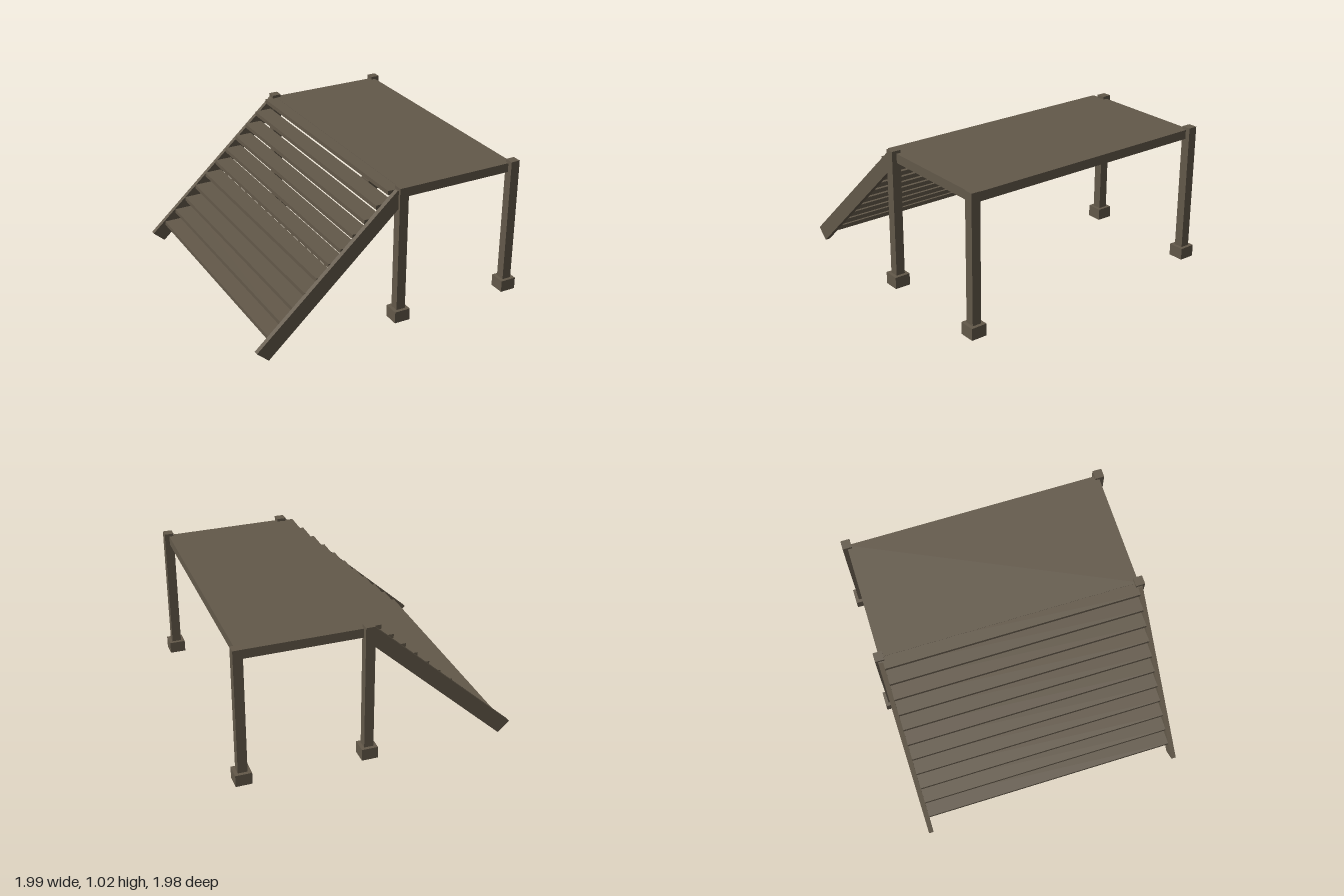
import * as THREE from 'three';

export function createModel() {
  const model = new THREE.Group();
  model.name = 'deckWithStairs';
  const wood = new THREE.MeshStandardMaterial({ color: 0x63594a });
  wood.name = 'weatheredWood';

  // Box given by its extents on each axis
  const box = (name, [x0, x1], [y0, y1], [z0, z1], parent = model) => {
    const mesh = new THREE.Mesh(new THREE.BoxGeometry(x1 - x0, y1 - y0, z1 - z0), wood);
    mesh.position.set((x0 + x1) / 2, (y0 + y1) / 2, (z0 + z1) / 2);
    mesh.name = name;
    parent.add(mesh);
    return mesh;
  };

  // Platform
  box('platform', [0.06, 0.937], [0.935, 1.0], [-0.935, 0.928]);

  // Four posts standing in square footings
  for (const x of [0.0625, 0.9375]) {
    for (const z of [-0.937, 0.93]) {
      const support = new THREE.Group();
      support.name = 'support';
      box('post', [x - 0.033, x + 0.033], [0.05, 1.02], [z - 0.033, z + 0.033], support);
      box('footing', [x - 0.057, x + 0.057], [0.03, 0.115], [z - 0.057, z + 0.057], support);
      model.add(support);
    }
  }

  // Sloping side boards of the stairs
  const profile = new THREE.Shape([
    [-1, 0.075], [-0.917, 0], [0.06, 0.895], [0.06, 1.0], [0.02, 1.0],
  ].map(([x, y]) => new THREE.Vector2(x, y)));
  const boardGeometry = new THREE.ExtrudeGeometry(profile, { depth: 0.034, bevelEnabled: false });
  for (const z of [-0.951, 0.911]) {
    const board = new THREE.Mesh(boardGeometry, wood);
    board.name = 'stairSideBoard';
    board.position.z = z;
    model.add(board);
  }

  // Eleven open treads, the last one level with the platform
  const treads = 11;
  for (let i = 0; i < treads; i++) {
    const x = -0.9 + i * 0.087;
    const top = 0.156 + i * 0.0842;
    box('tread', [x, x + 0.13], [top - 0.03, top], [-0.918, 0.912]);
  }
  return model;
}
